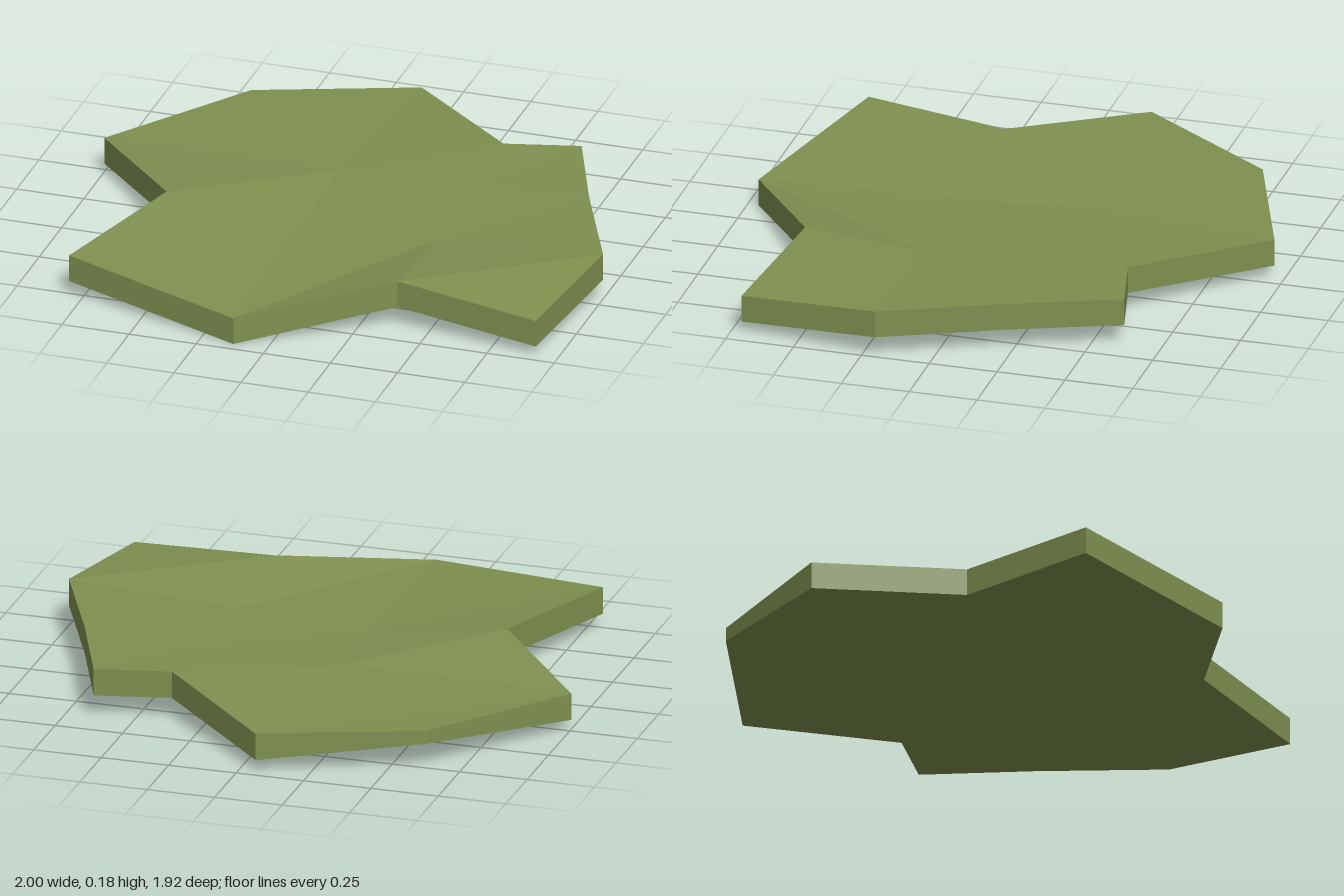
import * as THREE from 'three';

// Corner points of the slab: x, top height, z, thickness
const points = {
  a: [-0.125, 0.104, 0.96, 0.1],
  b: [0.38, 0.18, 0.64, 0.1],
  c: [0.92, 0.14, 0.715, 0.1],
  d: [1, 0.18, 0.2, 0.1],
  t: [0.805, 0.18, -0.23, 0.1],
  e: [0.65, 0.18, -0.615, 0.1],
  f: [0.38, 0.178, -0.55, 0.1],
  g: [-0.06, 0.145, -0.96, 0.1],
  h: [-0.625, 0.145, -0.75, 0.05],
  i: [-1, 0.138, -0.23, 0.1],
  j: [-0.625, 0.18, 0.2, 0.1],
  k: [-0.805, 0.155, 0.755, 0.1],
  // inner points
  p: [-0.125, 0.123, 0.2, 0.1],
  q: [0.38, 0.143, 0.2, 0.1],
  r: [-0.125, 0.143, -0.23, 0.1],
  s: [0.38, 0.16, -0.23, 0.1],
};
const outline = 'abcdtefghijk'; // counter-clockwise from above
const cells = ['kapj', 'abqp', 'bcdq', 'jpri', 'pqsr', 'qdts', 'irgh', 'rsfg', 'stef'];

const top = (n) => points[n].slice(0, 3);
const bottom = (n) => {
  const [x, y, z, thickness] = points[n];
  return [x, y - thickness, z];
};

// Flat-shaded mesh from a list of four-cornered faces
function facetedMesh(name, quads, material) {
  const geometry = new THREE.BufferGeometry();
  const positions = quads.flatMap(([a, b, c, d]) => [a, b, c, a, c, d].flat());
  geometry.setAttribute('position', new THREE.Float32BufferAttribute(positions, 3));
  geometry.computeVertexNormals();
  const mesh = new THREE.Mesh(geometry, material);
  mesh.name = name;
  return mesh;
}

export function createModel() {
  const group = new THREE.Group();
  group.name = 'groundPatch';
  const green = new THREE.MeshStandardMaterial({ color: 0x7f9050 });
  green.name = 'olive green';

  // Uneven upper surface and matching underside
  const upper = cells.map((cell) => [...cell].map(top));
  const lower = cells.map((cell) => [...cell].reverse().map(bottom));

  // Rim walls around the outline
  const rim = [...outline].map((n, i) => {
    const next = outline[(i + 1) % outline.length];
    return [bottom(n), bottom(next), top(next), top(n)];
  });

  group.add(
    facetedMesh('topSurface', upper, green),
    facetedMesh('underside', lower, green),
    facetedMesh('rim', rim, green),
  );
  return group;
}
